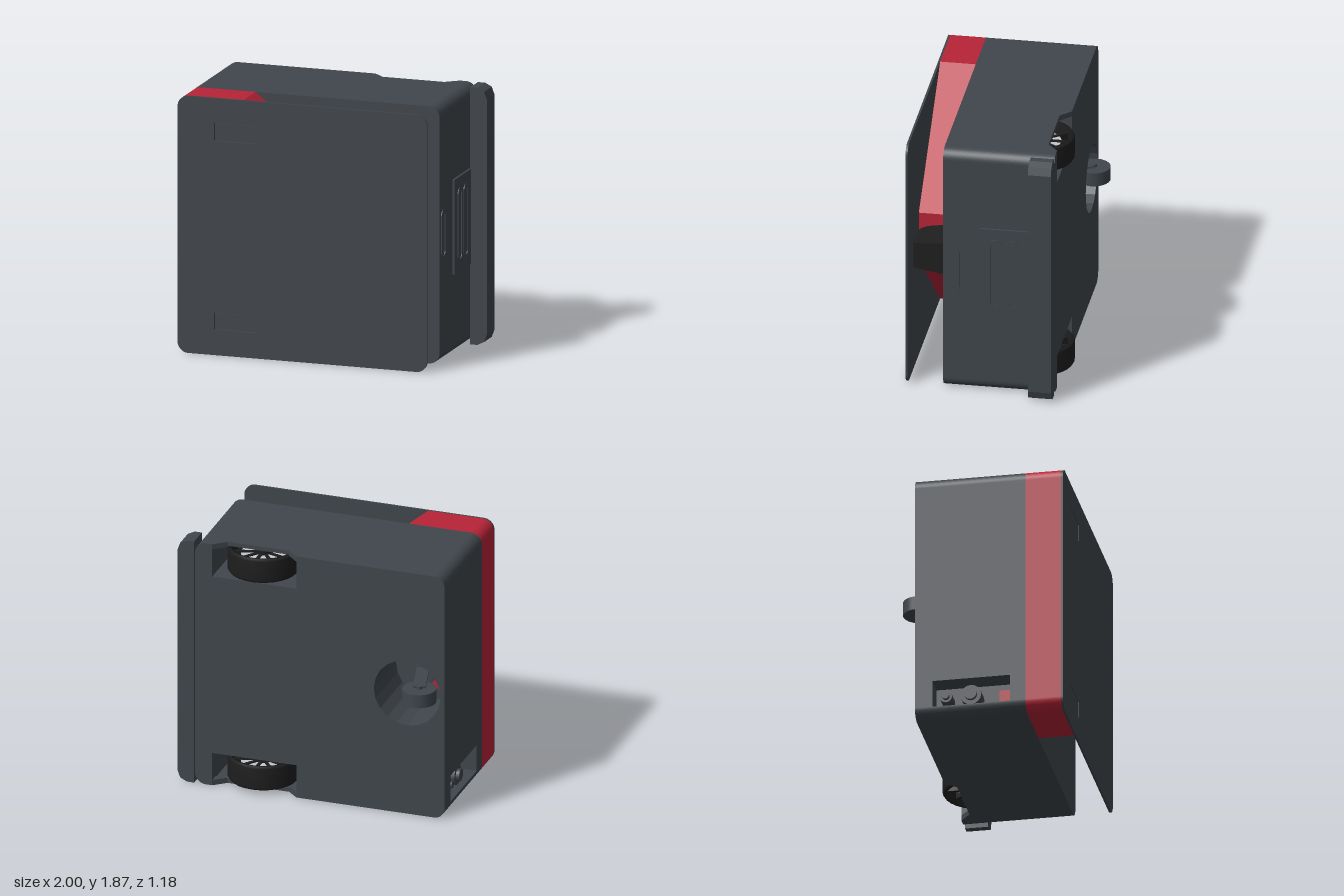
import * as THREE from 'three';

const mat = (name, color, side = THREE.FrontSide) => {
  const m = new THREE.MeshStandardMaterial({ color, side });
  m.name = name;
  return m;
};

export function createModel() {
  const gray = mat('slate gray', 0x40464c);
  const red = mat('red', 0xb82438);
  const black = mat('black', 0x1e1e1e);
  const silver = mat('silver', 0xc2c6cc);
  const model = new THREE.Group();
  const X0 = -1, X1 = 0.868, H = 1.87, R = 0.08, MID = H / 2;

  const add = (name, geo, material, x = 0, y = 0, z = 0, parent = model) => {
    const m = new THREE.Mesh(geo, material);
    m.name = name;
    m.position.set(x, y, z);
    parent.add(m);
    return m;
  };
  const box = (name, material, x0, x1, y0, y1, z0, z1) =>
    add(name, new THREE.BoxGeometry(x1 - x0, y1 - y0, z1 - z0), material, (x0 + x1) / 2, (y0 + y1) / 2, (z0 + z1) / 2);
  // Extrudes an xy shape between two z planes
  const slab = (name, shape, material, z0, z1) =>
    add(name, new THREE.ExtrudeGeometry(shape, { depth: z1 - z0, bevelEnabled: false, curveSegments: 10 }), material, 0, 0, z0);
  const rectHole = (x0, x1, y0, y1) =>
    new THREE.Path([[x0, y0], [x0, y1], [x1, y1], [x1, y0]].map(p => new THREE.Vector2(...p)));

  // Rounded square outline, optionally notched at the wheels and at the port bay
  const outline = ({ wheelNotch, bay } = {}) => {
    const s = new THREE.Shape();
    s.moveTo(X0 + R, 0);
    if (wheelNotch) [[0.11, 0], [0.11, 0.25], [0.74, 0.25], [0.74, 0]].forEach(p => s.lineTo(...p));
    s.absarc(X1 - R, R, R, -Math.PI / 2, 0, false);
    s.absarc(X1 - R, H - R, R, 0, Math.PI / 2, false);
    if (wheelNotch) [[0.74, H], [0.74, H - 0.25], [0.11, H - 0.25], [0.11, H]].forEach(p => s.lineTo(...p));
    s.absarc(X0 + R, H - R, R, Math.PI / 2, Math.PI, false);
    if (bay) [[X0, 0.28], [X0 + 0.16, 0.28], [X0 + 0.16, R], [X0, R]].forEach(p => s.lineTo(...p));
    s.absarc(X0 + R, R, R, Math.PI, Math.PI * 1.5, false);
    return s;
  };
  const casterHole = () => new THREE.Path().absarc(-0.72, MID, 0.25, 0, Math.PI * 2, true);
  const wells = () => [rectHole(0.11, 0.74, 0.03, 0.25), rectHole(0.11, 0.74, H - 0.25, H - 0.03)];

  // Body, in layers from the back to the front
  const layers = [
    [-0.475, -0.4, { wheelNotch: true }, true, false],
    [-0.4, -0.35, {}, true, true],
    [-0.35, 0, { bay: true }, true, true],
    [0, 0.21, { bay: true }, false, false],
    [0.21, 0.32, {}, false, false],
  ];
  for (const [z0, z1, options, caster, well] of layers) {
    const s = outline(options);
    if (caster) s.holes.push(casterHole());
    if (well) s.holes.push(...wells());
    slab('bodyLayer', s, gray, z0, z1);
  }
  // Sloped ends of the wheel notches
  for (const y of [0, H - 0.04]) {
    for (const pts of [[[0.11, 0.475], [0.11, 0.4], [0.19, 0.4]], [[0.74, 0.475], [0.74, 0.4], [0.65, 0.4]]]) {
      const g = new THREE.ExtrudeGeometry(new THREE.Shape(pts.map(p => new THREE.Vector2(...p))), { depth: 0.04, bevelEnabled: false });
      g.rotateX(-Math.PI / 2);
      add('notchWedge', g, gray, 0, y, 0);
    }
  }

  // Red core between the body and the front plate
  const core = new THREE.Shape();
  core.moveTo(-0.51, 0);
  core.lineTo(0.39, 0.75);
  core.lineTo(0.39, 1.12);
  core.lineTo(-0.51, H);
  core.absarc(X0 + R, H - R, R, Math.PI / 2, Math.PI, false);
  core.absarc(X0 + R, R, R, Math.PI, Math.PI * 1.5, false);
  slab('redCore', core, red, 0.32, 0.575);

  // Front plate with two inset hatches
  const plate = outline();
  for (const [y0, y1] of [[0.185, 0.31], [1.56, 1.69]]) {
    plate.holes.push(rectHole(-0.725, -0.4, y0, y1));
    box('hatch', gray, -0.722, -0.403, y0 + 0.003, y1 - 0.003, 0.57, 0.586);
  }
  slab('frontPlate', plate, gray, 0.575, 0.59);

  // Tapered sensor block under the front plate
  const sensor = new THREE.Shape();
  sensor.moveTo(0.41, 0.32);
  sensor.lineTo(0.72, 0.32);
  sensor.lineTo(0.695, 0.55);
  sensor.quadraticCurveTo(0.692, 0.565, 0.675, 0.567);
  sensor.lineTo(0.51, 0.567);
  sensor.quadraticCurveTo(0.43, 0.56, 0.42, 0.48);
  const sg = new THREE.ExtrudeGeometry(sensor, { depth: 0.25, bevelEnabled: false });
  sg.translate(0, 0, -0.125);
  sg.rotateX(Math.PI / 2);
  const sp = sg.attributes.position;
  for (let i = 0; i < sp.count; i++) sp.setY(i, sp.getY(i) * (1 - (sp.getZ(i) - 0.32) * 1.0));
  sg.computeVertexNormals();
  add('sensor', sg, black, 0, MID, 0);

  // Bumper and its two mounts
  const bumper = new THREE.Shape();
  [[0.876, 0], [0.93, 0], [0.98, 0.025], [1, 0.08], [1, H - 0.08], [0.98, H - 0.025], [0.93, H], [0.876, H]]
    .forEach((p, i) => (i ? bumper.lineTo(...p) : bumper.moveTo(...p)));
  slab('bumper', bumper, gray, -0.475, -0.31);
  for (const y of [0.2, 1.34]) box('bumperMount', gray, 0.86, 0.88, y, y + 0.34, -0.44, -0.34);

  // Side panel and rounded slots, facing +x
  const pill = (w, y0, y1) => {
    const s = new THREE.Shape(), r = w / 2;
    s.absarc(0, y0 + r, r, Math.PI, Math.PI * 2, false);
    s.absarc(0, y1 - r, r, 0, Math.PI, false);
    return s;
  };
  const sidePill = (name, z, w, y0, y1, x) => {
    const ring = pill(w, y0, y1);
    ring.holes.push(pill(w - 0.025, y0 + 0.0125, y1 - 0.0125));
    const m = add(name, new THREE.ExtrudeGeometry(ring, { depth: 0.006, bevelEnabled: false }), gray, x, 0, z);
    m.rotation.y = Math.PI / 2;
  };
  box('sidePanel', gray, 0.86, 0.885, 0.59, 1.28, -0.3, 0.05);
  sidePill('panelSlot', -0.058, 0.09, 0.67, 1.2, 0.885);
  sidePill('panelSlot', -0.182, 0.09, 0.67, 1.2, 0.885);
  sidePill('handleSlot', 0.245, 0.09, 0.76, 1.11, X1);

  // Drive wheels: tyre, disc, hub and spokes around a y axis
  for (const y of [0.13, H - 0.13]) {
    const wheel = new THREE.Group();
    wheel.name = 'driveWheel';
    wheel.position.set(0.42, y, -0.29);
    model.add(wheel);
    const profile = [[0.225, -0.09], [0.245, -0.09], [0.255, -0.075], [0.255, 0.075], [0.245, 0.09], [0.225, 0.09], [0.225, -0.09]];
    add('tyre', new THREE.LatheGeometry(profile.map(p => new THREE.Vector2(...p)), 28), black, 0, 0, 0, wheel);
    add('wheelDisc', new THREE.CylinderGeometry(0.16, 0.16, 0.08, 24), silver, 0, 0, 0, wheel);
    add('hub', new THREE.CylinderGeometry(0.06, 0.06, 0.13, 16), black, 0, 0, 0, wheel);
    for (let i = 0; i < 10; i++) {
      const a = (i + 0.5) * Math.PI / 5;
      const spoke = add('spoke', new THREE.BoxGeometry(0.19, 0.1, 0.022), black, Math.cos(a) * 0.14, 0, Math.sin(a) * 0.14, wheel);
      spoke.rotation.y = -a;
    }
  }

  // Rear caster and the red strip at the bottom of its recess
  const strip = add('recessStrip', new THREE.BoxGeometry(0.48, 0.13, 0.008), red, -0.72, MID, 0.0);
  strip.rotation.z = Math.PI / 4;
  const turn = add('casterPivot', new THREE.CylinderGeometry(0.07, 0.09, 0.16, 16), gray, -0.72, MID, -0.08);
  turn.rotation.x = Math.PI / 2;
  for (const dy of [-0.06, 0.06]) {
    const fork = add('casterFork', new THREE.BoxGeometry(0.09, 0.015, 0.36), gray, -0.765, MID + dy, -0.3);
    fork.rotation.y = 0.26;
  }
  add('casterWheel', new THREE.CylinderGeometry(0.122, 0.122, 0.1, 20), gray, -0.81, MID, -0.473);
  add('casterAxle', new THREE.CylinderGeometry(0.025, 0.025, 0.14, 12), gray, -0.81, MID, -0.473);

  // Connectors in the port bay
  for (const [z, r] of [[-0.26, 0.045], [-0.08, 0.075]]) {
    const c = add('connector', new THREE.CylinderGeometry(r, r, 0.12, 16), gray, -0.9, 0.17, z);
    c.rotation.z = Math.PI / 2;
    const tip = add('connectorTip', new THREE.CylinderGeometry(r * 0.6, r * 0.6, 0.03, 16), gray, -0.97, 0.17, z);
    tip.rotation.z = Math.PI / 2;
  }
  box('portSwitch', red, -0.88, -0.84, 0.13, 0.22, 0.11, 0.19);

  return model;
}
